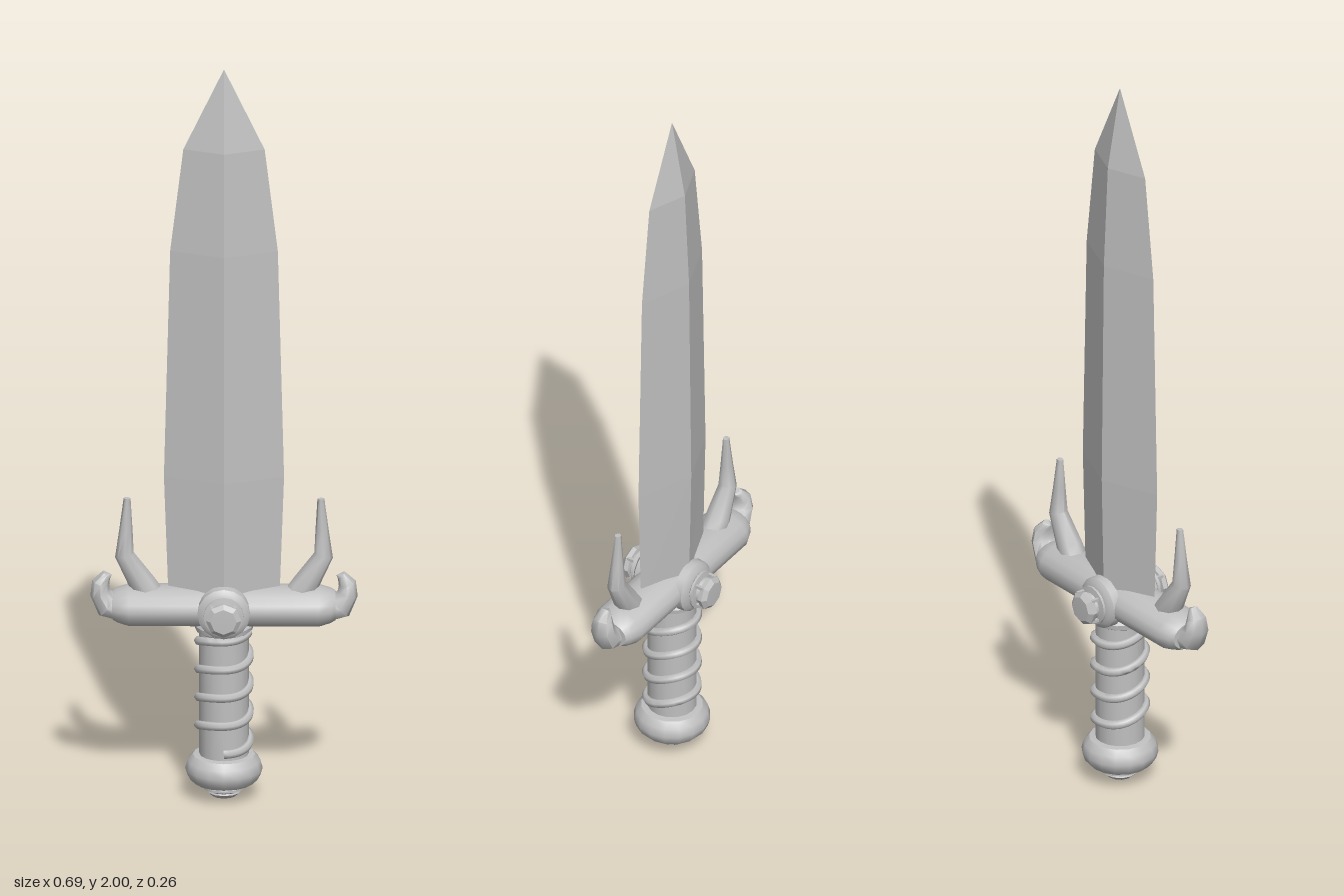
import * as THREE from 'three';
import { toCreasedNormals } from 'three/addons/utils/BufferGeometryUtils.js';

const steel = new THREE.MeshStandardMaterial({ color: 0xc0c0c0 });
steel.name = 'steel';

function part(name, geometry, crease = 0.7) {
  const mesh = new THREE.Mesh(toCreasedNormals(geometry, crease), steel);
  mesh.name = name;
  return mesh;
}

const lathe = (profile, sides) =>
  new THREE.LatheGeometry(profile.map(([r, y]) => new THREE.Vector2(r, y)), sides);

// Skin over elliptical rings; each ring is [x, y, radius across, radius in z]
function loft(rings, sides) {
  const pos = [], index = [];
  rings.forEach(([x, y, r, rz], k) => {
    const a = rings[Math.max(k - 1, 0)], b = rings[Math.min(k + 1, rings.length - 1)];
    const len = Math.hypot(b[0] - a[0], b[1] - a[1]) || 1;
    const nx = (b[1] - a[1]) / len, ny = -(b[0] - a[0]) / len;
    for (let i = 0; i < sides; i++) {
      const t = (i / sides) * Math.PI * 2, c = Math.cos(t) * r;
      pos.push(x + nx * c, y + ny * c, Math.sin(t) * rz);
      if (k < rings.length - 1) {
        const p = k * sides + i, q = k * sides + (i + 1) % sides;
        index.push(p, p + sides, q, q, p + sides, q + sides);
      }
    }
  });
  const g = new THREE.BufferGeometry();
  g.setAttribute('position', new THREE.Float32BufferAttribute(pos, 3));
  g.setIndex(index);
  return g;
}

// Cord wound round the grip: level at front and back, climbing at the sides
class Winding extends THREE.Curve {
  getPoint(t, target = new THREE.Vector3()) {
    const a = t * Math.PI * 2 * 4.2;
    const y = 0.14 + 0.077 * (a - 0.4 * Math.sin(2 * a)) / (Math.PI * 2);
    return target.set(0.066 * Math.sin(a), y, 0.066 * Math.cos(a));
  }
}

export function createModel() {
  const model = new THREE.Group();
  model.name = 'dagger';

  // Diamond-section blade
  model.add(part('blade', loft([
    [0, 0.54, 0, 0], [0, 0.541, 0.143, 0.053], [0, 0.88, 0.155, 0.06],
    [0, 1.5, 0.139, 0.053], [0, 1.78, 0.105, 0.04], [0, 2, 0, 0],
  ], 4), 0.01));

  // Crossguard
  const guard = lathe([
    [0, -0.288], [0.05, -0.288], [0.06, -0.275], [0.072, -0.245],
    [0.072, 0.245], [0.06, 0.275], [0.05, 0.288], [0, 0.288],
  ], 16);
  guard.rotateZ(-Math.PI / 2).scale(1, 0.735, 1).translate(0, 0.527, 0);
  model.add(part('crossguard', guard));

  // Claw and prong at each end of the guard
  for (const side of ['left', 'right']) {
    const end = new THREE.Group();
    end.name = side + 'GuardEnd';
    end.add(part('claw', loft([
      [0.26, 0.517, 0, 0], [0.265, 0.518, 0.035, 0.04], [0.3, 0.527, 0.037, 0.04],
      [0.319, 0.56, 0.027, 0.035], [0.318, 0.588, 0.023, 0.028],
      [0.303, 0.609, 0.014, 0.014], [0.29, 0.61, 0, 0],
    ], 8), 0.9));
    end.add(part('prong', loft([
      [0.19, 0.555, 0.036, 0.034], [0.21, 0.585, 0.035, 0.034],
      [0.257, 0.665, 0.025, 0.024], [0.253, 0.735, 0.017, 0.016],
      [0.25, 0.82, 0.009, 0.008], [0.25, 0.822, 0, 0],
    ], 8), 0.9));
    if (side === 'right') end.rotation.y = Math.PI;
    model.add(end);
  }

  // Studs on both faces of the guard
  for (const face of ['front', 'back']) {
    const stud = new THREE.Group();
    stud.name = face + 'Stud';
    const base = lathe([
      [0.07, 0.05], [0.068, 0.073], [0.058, 0.081], [0.046, 0.084],
      [0.052, 0.088], [0.052, 0.094], [0.036, 0.097], [0.034, 0.108],
    ], 16).rotateX(Math.PI / 2);
    const cap = lathe([
      [0.03, 0.106], [0.044, 0.109], [0.046, 0.121], [0.034, 0.131], [0, 0.132],
    ], 8).rotateX(Math.PI / 2);
    stud.add(part('studBase', base), part('studCap', cap, 0.5));
    // Small claws holding the cap
    for (let i = 0; i < 4; i++) {
      const a = Math.PI / 4 + i * Math.PI / 2;
      const post = new THREE.BoxGeometry(0.008, 0.008, 0.026);
      post.translate(Math.cos(a) * 0.042, Math.sin(a) * 0.042, 0.104);
      stud.add(part('studPost', post));
    }
    stud.position.y = 0.527;
    if (face === 'back') stud.rotation.y = Math.PI;
    model.add(stud);
  }

  // Grip with its winding
  model.add(part('grip', lathe([[0.064, 0.1], [0.064, 0.49]], 16)));
  model.add(part('winding', new THREE.TubeGeometry(new Winding(), 140, 0.012, 6), 1.2));
  model.add(part('gripCollar', lathe([
    [0.062, 0.455], [0.074, 0.462], [0.076, 0.475], [0.066, 0.49],
  ], 16)));

  // Pommel and its button
  model.add(part('pommel', lathe([
    [0, 0.043], [0.08, 0.045], [0.094, 0.06], [0.1, 0.08],
    [0.094, 0.102], [0.08, 0.118], [0.06, 0.121],
  ], 16)));
  model.add(part('pommelButton', lathe([
    [0, 0], [0.032, 0.006], [0.044, 0.017], [0.042, 0.021],
    [0.056, 0.028], [0.056, 0.034], [0.042, 0.046],
  ], 12)));
  return model;
}
